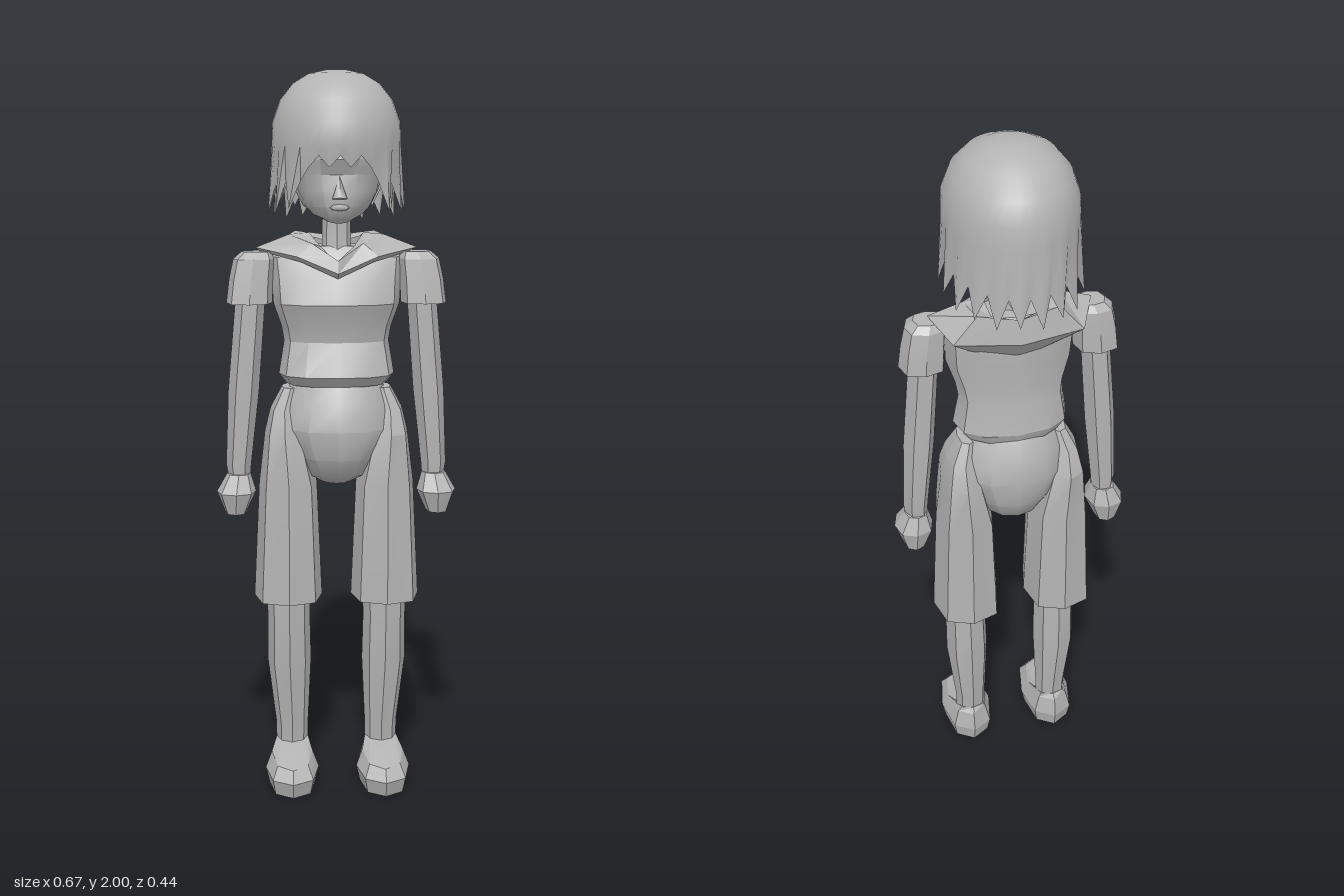
import * as THREE from 'three';
import { toCreasedNormals } from 'three/addons/utils/BufferGeometryUtils.js';

const clay = new THREE.MeshStandardMaterial({ color: 0xb4b4b4, side: THREE.DoubleSide });
clay.name = 'light grey';

// Horizontal ring: half width hx around cx, from zf (front) to zb (back).
// lift raises the back, box squares the outline.
function ring(y, cx, hx, zf, zb, { n = 8, lift = 0, box = 1 } = {}) {
  const pts = [];
  const soft = (v) => Math.sign(v) * Math.abs(v) ** box;
  for (let i = 0; i < n; i++) {
    const a = (i / n) * Math.PI * 2;
    const t = soft(Math.sin(a));
    pts.push([cx + hx * soft(Math.cos(a)), y + lift * (1 - t) / 2, (zf + zb) / 2 + t * (zf - zb) / 2]);
  }
  return pts;
}

// Skin through rings listed from the bottom up.
function loft(name, rings, { bottom = true, top = true, crease = 0.6 } = {}) {
  const n = rings[0].length;
  const pos = [];
  const tri = (a, b, c) => pos.push(...a, ...b, ...c);
  for (let i = 0; i < rings.length - 1; i++) {
    for (let j = 0; j < n; j++) {
      const k = (j + 1) % n;
      const [a, b, c, d] = [rings[i][j], rings[i + 1][j], rings[i + 1][k], rings[i][k]];
      tri(a, b, d);
      tri(b, c, d);
    }
  }
  const cap = (r, up) => {
    const m = [0, 1, 2].map((q) => r.reduce((s, p) => s + p[q], 0) / n);
    r.forEach((p, j) => (up ? tri(m, r[(j + 1) % n], p) : tri(m, p, r[(j + 1) % n])));
  };
  if (bottom) cap(rings[0], false);
  if (top) cap(rings[rings.length - 1], true);
  const geo = new THREE.BufferGeometry();
  geo.setAttribute('position', new THREE.Float32BufferAttribute(pos, 3));
  const mesh = new THREE.Mesh(toCreasedNormals(geo, crease), clay);
  mesh.name = name;
  return mesh;
}

const stack = (name, rows, ringOpt, loftOpt) =>
  loft(name, rows.map(([y, cx, hx, zf, zb, lift = 0]) => ring(y, cx, hx, zf, zb, { ...ringOpt, lift })), loftOpt);

function makeHead() {
  const head = new THREE.Group();
  head.name = 'head';
  head.add(stack('face', [
    [1.597, 0, 0.035, 0.155, 0.06, 0.02], [1.61, 0, 0.07, 0.172, -0.08, 0.025],
    [1.64, 0, 0.092, 0.186, -0.11], [1.68, 0, 0.113, 0.187, -0.125],
    [1.725, 0, 0.125, 0.178, -0.135], [1.765, 0, 0.135, 0.197, -0.14],
    [1.88, 0, 0.125, 0.17, -0.14], [1.95, 0, 0.07, 0.09, -0.08],
  ], { n: 16 }));
  // Nose wedge and lips
  const nose = new THREE.Mesh(new THREE.ConeGeometry(0.02, 0.06, 4), clay);
  nose.name = 'nose';
  nose.position.set(0, 1.692, 0.186);
  nose.rotation.x = -0.2;
  head.add(nose);
  const lips = new THREE.Mesh(new THREE.SphereGeometry(1, 8, 4), clay);
  lips.name = 'lips';
  lips.scale.set(0.026, 0.009, 0.01);
  lips.position.set(0, 1.64, 0.184);
  head.add(lips);

  // Hair cap: zigzag lower edge, high fringe in front and long locks behind
  const n = 40;
  const rows = [
    [1.80, 0.176, 0.224, -0.2], [1.86, 0.174, 0.222, -0.195], [1.92, 0.153, 0.192, -0.175],
    [1.965, 0.117, 0.14, -0.13], [1.99, 0.075, 0.08, -0.08], [2.0, 0.03, 0.03, -0.03],
  ].map(([y, hx, zf, zb]) => ring(y, 0, hx, zf, zb, { n }));
  const edge = ring(1.7, 0, 0.18, 0.217, -0.207, { n }).map(([x, , z], i) => {
    const front = Math.sin((i / n) * Math.PI * 2);
    const base = front > 0.82 ? 1.775 : 1.69 + 0.025 * front;
    const tip = i % 2 ? (front > 0.82 ? 0.03 : 0.065 + 0.02 * ((i * 3) % 4) / 4) : 0;
    const flare = front > 0.82 ? 1 : i % 2 ? 1.05 : 0.96;
    return [x * flare, base - tip, z * flare];
  });
  head.add(loft('hair', [edge, ...rows], { bottom: false, crease: 0.7 }));
  // Shorter inner layer of locks
  const inner = ring(1.69, 0, 0.155, 0.17, -0.18, { n: 24 }).map(([x, y, z], i) =>
    [x, z > 0.08 ? 1.77 : y - (i % 2 ? 0.06 : 0), z]);
  head.add(loft('innerHair', [inner, ring(1.8, 0, 0.165, 0.19, -0.185, { n: 24 })], { bottom: false, top: false }));
  return head;
}

function makeHood() {
  // Half outlines from front centre to back centre, mirrored to full rings
  const full = (half) => [
    half[2], half[1], half[0],
    ...[1, 2, 3].map((i) => [-half[i][0], half[i][1], half[i][2]]),
    half[4], half[3],
  ];
  return loft('hood', [
    full([[0, 1.445, 0.105], [0.1, 1.49, 0.085], [0.19, 1.51, 0.02], [0.13, 1.45, -0.055], [0, 1.4, -0.05]]),
    full([[0, 1.46, 0.125], [0.11, 1.505, 0.1], [0.222, 1.525, 0.02], [0.175, 1.49, -0.085], [0, 1.48, -0.11]]),
    full([[0, 1.495, 0.12], [0.07, 1.54, 0.085], [0.13, 1.56, 0.01], [0.11, 1.565, -0.08], [0, 1.55, -0.1]]),
    full([[0, 1.485, 0.095], [0.045, 1.53, 0.07], [0.075, 1.565, 0.01], [0.07, 1.55, -0.06], [0, 1.53, -0.07]]),
  ], { bottom: false, top: false, crease: 0.4 });
}

function makeArm(s, side) {
  const arm = new THREE.Group();
  arm.name = side + 'Arm';
  arm.add(stack('sleeve', [
    [1.375, s * 0.24, 0.063, 0.1, -0.038], [1.44, s * 0.235, 0.06, 0.09, -0.036],
    [1.495, s * 0.227, 0.056, 0.08, -0.03], [1.515, s * 0.22, 0.04, 0.06, -0.015],
  ], { n: 8, box: 0.75 }, { crease: 0.35 }));
  arm.add(stack('armSkin', [
    [0.88, s * 0.272, 0.03, 0.052, -0.016], [0.92, s * 0.274, 0.035, 0.055, -0.02],
    [1.13, s * 0.258, 0.043, 0.065, -0.03], [1.4, s * 0.236, 0.041, 0.066, -0.03],
  ], { n: 6 }, { crease: 0.35 }));
  // Closed fist
  arm.add(stack('hand', [
    [0.785, s * 0.283, 0.03, 0.075, -0.025], [0.845, s * 0.281, 0.055, 0.092, -0.038],
    [0.895, s * 0.274, 0.033, 0.06, -0.02],
  ], { n: 8, box: 0.8 }, { crease: 0.3 }));
  return arm;
}

function makeLeg(s, side) {
  const leg = new THREE.Group();
  leg.name = side + 'Leg';
  // Trouser leg rising to a point at the outer hip
  leg.add(stack('shortsLeg', [
    [0.54, s * 0.137, 0.096, 0.142, -0.103], [0.87, s * 0.136, 0.081, 0.138, -0.1],
    [1.015, s * 0.146, 0.054, 0.125, -0.1], [1.08, s * 0.146, 0.038, 0.09, -0.07],
    [1.14, s * 0.128, 0.024, 0.06, -0.04],
  ], { n: 8, box: 0.75 }, { crease: 0.35 }));
  leg.add(stack('shin', [
    [0.1, s * 0.128, 0.045, 0.06, -0.022], [0.16, s * 0.128, 0.046, 0.066, -0.028],
    [0.35, s * 0.135, 0.062, 0.096, -0.052], [0.48, s * 0.136, 0.06, 0.1, -0.044],
    [0.58, s * 0.136, 0.063, 0.1, -0.042],
  ], { n: 8 }, { crease: 0.35 }));
  leg.add(stack('shoe', [
    [0, s * 0.13, 0.066, 0.21, -0.04], [0.045, s * 0.13, 0.076, 0.225, -0.05],
    [0.075, s * 0.13, 0.058, 0.195, -0.04, 0.03], [0.105, s * 0.128, 0.046, 0.08, -0.025, 0.015],
  ], { n: 8, box: 0.85 }, { crease: 0.3 }));
  return leg;
}

export function createModel() {
  const model = new THREE.Group();
  model.name = 'figure';
  model.add(makeHead());
  model.add(stack('neck', [
    [1.46, 0, 0.055, 0.075, -0.03], [1.53, 0, 0.04, 0.06, -0.015], [1.64, 0, 0.038, 0.058, -0.01],
  ], { n: 8 }));
  // Shirt, from hem over waist and chest to the shoulders
  model.add(stack('shirt', [
    [1.15, 0, 0.138, 0.115, -0.075], [1.178, 0, 0.16, 0.137, -0.085], [1.27, 0, 0.145, 0.102, -0.068],
    [1.31, 0, 0.152, 0.108, -0.066], [1.375, 0, 0.174, 0.132, -0.066], [1.44, 0, 0.178, 0.108, -0.07],
    [1.5, 0, 0.185, 0.078, -0.065], [1.53, 0, 0.1, 0.055, -0.05],
  ], { n: 12, box: 0.85 }, { crease: 0.45 }));
  model.add(makeHood());
  model.add(stack('pelvis', [
    [0.87, 0, 0.04, 0.06, -0.03], [0.895, 0, 0.085, 0.11, -0.075], [0.95, 0, 0.125, 0.145, -0.105],
    [1.03, 0, 0.165, 0.158, -0.117], [1.1, 0, 0.148, 0.138, -0.108], [1.16, 0, 0.125, 0.108, -0.075],
  ], { n: 12 }));
  for (const [s, side] of [[1, 'left'], [-1, 'right']]) {
    model.add(makeArm(s, side), makeLeg(s, side));
  }
  return model;
}
